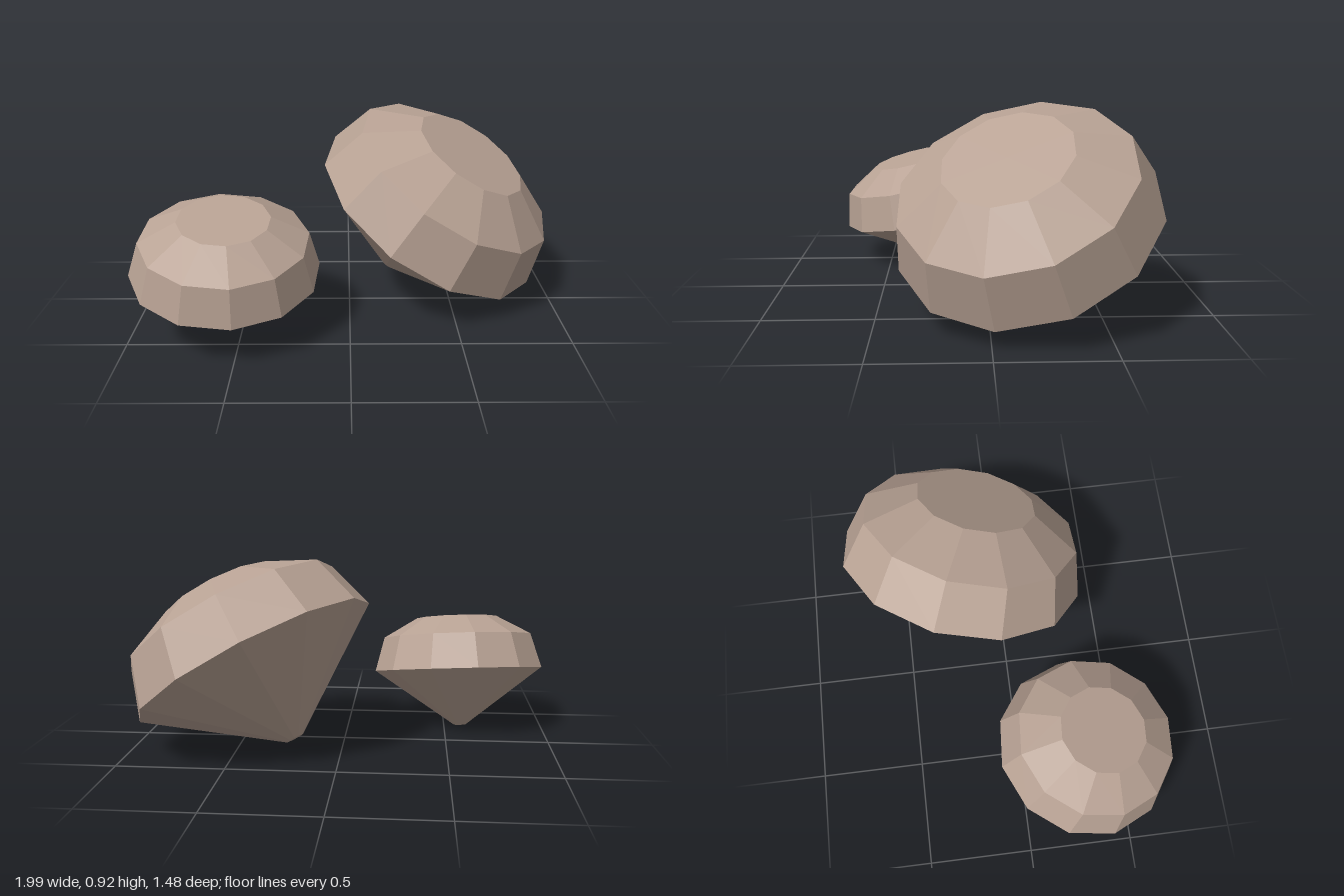
import * as THREE from 'three';

const SIDES = 12;

// Gem outline from the blunt tip up to the flat table: [radius, height above girdle]
const PROFILE = [[0, -0.29], [0.03, -0.29], [0.435, 0], [0.384, 0.172], [0.21, 0.27], [0, 0.27]];

// One cut gem: girdle centre, direction of its axis, direction towards one girdle corner
function makeGem(name, material, size, centre, axis, corner) {
  const points = PROFILE.map(([r, y]) => new THREE.Vector2(r, y));
  const gem = new THREE.Mesh(new THREE.LatheGeometry(points, SIDES), material);
  const up = new THREE.Vector3(...axis).normalize();
  const out = new THREE.Vector3(...corner);
  out.addScaledVector(up, -out.dot(up)).normalize();
  const side = new THREE.Vector3().crossVectors(out, up);
  gem.quaternion.setFromRotationMatrix(new THREE.Matrix4().makeBasis(out, up, side));
  gem.position.set(...centre);
  gem.scale.setScalar(size);
  gem.name = name;
  return gem;
}

export function createModel() {
  const group = new THREE.Group();
  group.name = 'gems';
  const stone = new THREE.MeshStandardMaterial({ color: 0xb8a294 });
  stone.name = 'warm grey stone';
  stone.flatShading = true;

  group.add(
    makeGem('smallGem', stone, 1, [-0.57, 0.285, 0.315], [0.043, 1, 0.247], [-0.43, 0, 0.075]),
    makeGem('largeGem', stone, 1.4, [0.41, 0.415, -0.175], [0.59, 1, 0.326], [0.23, 0.05, -0.565])
  );
  return group;
}
